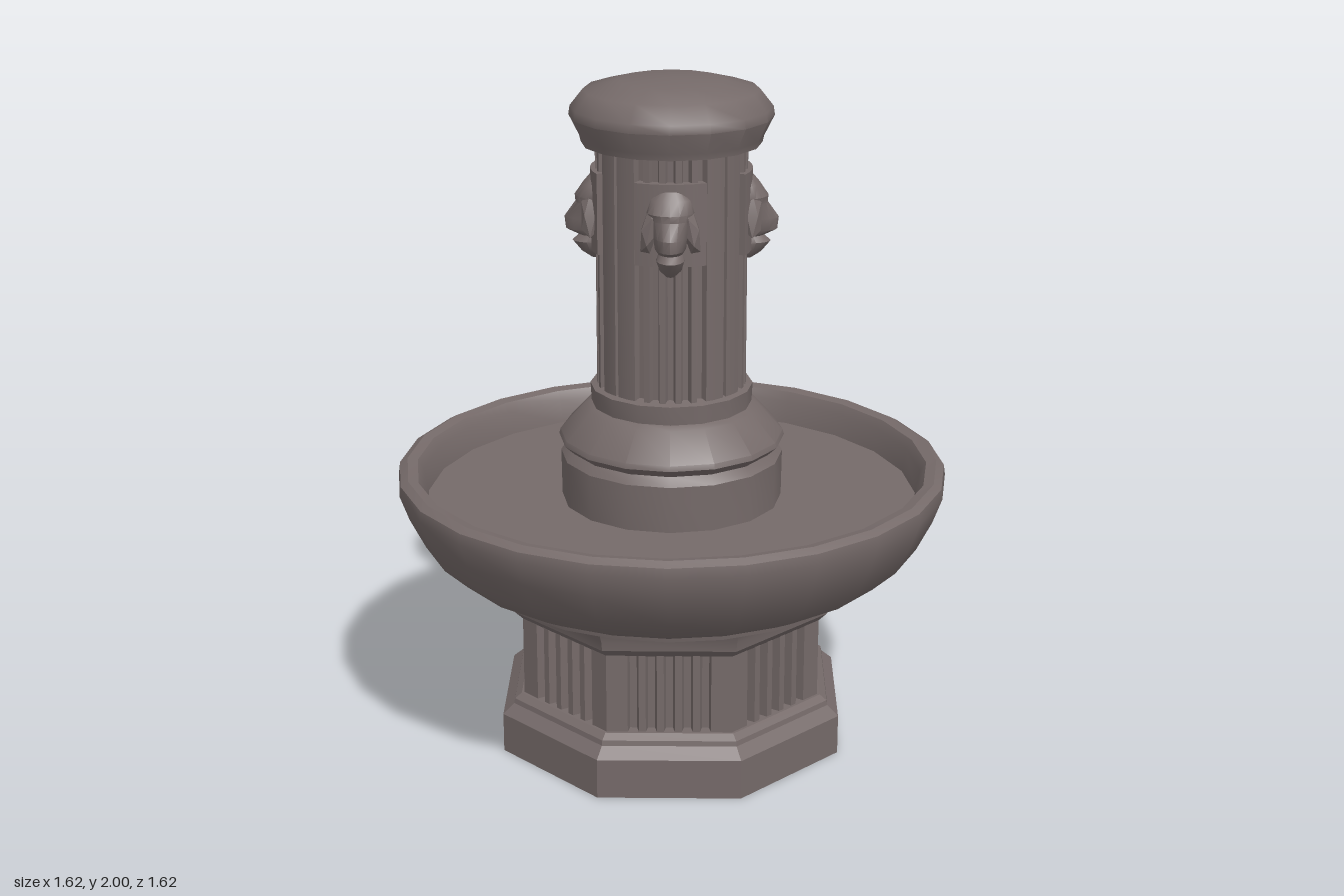
import * as THREE from 'three';
import { toCreasedNormals } from 'three/addons/utils/BufferGeometryUtils.js';

const stone = new THREE.MeshStandardMaterial({ color: 0x756a69 });
stone.name = 'weathered stone';

function part(name, geometry, crease = 0.6) {
  const mesh = new THREE.Mesh(toCreasedNormals(geometry, crease), stone);
  mesh.name = name;
  return mesh;
}

// Turned part from [radius, height] pairs, listed from the bottom up
function turned(name, profile, sides, crease) {
  const points = profile.map(([r, y]) => new THREE.Vector2(r, y));
  return part(name, new THREE.LatheGeometry(points, sides), crease);
}

// Octagonal part with flat sides facing the axes; radii are to the flats
function octagonal(name, profile) {
  const points = profile.map(([r, y]) => new THREE.Vector2(r / Math.cos(Math.PI / 8), y));
  return part(name, new THREE.LatheGeometry(points, 8, Math.PI / 8), 0.4);
}

// Plan outline raised from y0 to y1
function upright(name, outline, y0, y1) {
  const geometry = new THREE.ExtrudeGeometry(new THREE.Shape(outline),
    { depth: y1 - y0, bevelEnabled: false });
  geometry.rotateX(-Math.PI / 2).translate(0, y0, 0);
  return part(name, geometry, 0.45);
}

const polar = (r, a) => new THREE.Vector2(r * Math.cos(a), r * Math.sin(a));

// Octagon plan with five grooves in each side
function groovedOctagon(apothem, depth) {
  const outline = [];
  for (let side = 0; side < 8; side++) {
    const a = side * Math.PI / 4;
    const add = (t, r) => outline.push(new THREE.Vector2(
      r * Math.cos(a) - t * Math.sin(a), r * Math.sin(a) + t * Math.cos(a)));
    add(-apothem * Math.tan(Math.PI / 8), apothem);
    for (let i = -2; i <= 2; i++) {
      const t = i * 0.052;
      add(t - 0.016, apothem);
      add(t - 0.01, apothem - depth);
      add(t + 0.01, apothem - depth);
      add(t + 0.016, apothem);
    }
  }
  return outline;
}

// Round plan: five flutes on each diagonal, one thin groove between the groups
function flutedCircle(radius, depth) {
  const outline = [];
  const groove = (a, half) => {
    outline.push(polar(radius, a - half), polar(radius - depth, a - half * 0.6),
      polar(radius - depth, a + half * 0.6), polar(radius, a + half));
  };
  for (let q = 0; q < 4; q++) {
    const a = q * Math.PI / 2;
    groove(a, 0.025);
    outline.push(polar(radius, a + 0.2));
    for (let i = -2; i <= 2; i++) groove(a + Math.PI / 4 + i * 0.21, 0.065);
    outline.push(polar(radius, a + Math.PI / 2 - 0.2));
  }
  return outline;
}

// Face built from half-round cross-sections: [height, half width, projection]
function maskGeometry() {
  const rows = [
    [1.48, 0.012, 0.015], [1.5, 0.032, 0.045], [1.53, 0.042, 0.07],
    [1.548, 0.036, 0.05], [1.565, 0.045, 0.088], [1.6, 0.05, 0.092],
    [1.645, 0.06, 0.06], [1.665, 0.068, 0.062], [1.7, 0.058, 0.038], [1.73, 0.03, 0.012],
  ];
  const n = 8, positions = [], index = [];
  rows.forEach(([y, w, d], r) => {
    for (let i = 0; i <= n; i++) {
      const a = Math.PI * i / n;
      positions.push(-w * Math.cos(a), y, 0.215 + d * Math.sin(a));
      if (r && i) {
        const c = r * (n + 1) + i, b = c - n - 1;
        index.push(b - 1, b, c, b - 1, c, c - 1);
      }
    }
  });
  const geometry = new THREE.BufferGeometry();
  geometry.setAttribute('position', new THREE.Float32BufferAttribute(positions, 3));
  geometry.setIndex(index);
  return geometry;
}

// Spout mask: curved backing plate, face and mane locks
function createMask() {
  const group = new THREE.Group();
  group.name = 'spoutMask';
  const arc = [];
  for (let i = 0; i <= 6; i++) arc.push(polar(0.232, -Math.PI / 2 - 0.45 + i * 0.15));
  for (let i = 6; i >= 0; i--) arc.push(polar(0.19, -Math.PI / 2 - 0.45 + i * 0.15));
  group.add(upright('maskPlate', arc, 1.51, 1.745));
  group.add(part('maskFace', maskGeometry(), 0.7));
  for (const side of [-1, 1]) {
    const lock = new THREE.IcosahedronGeometry(1, 0).scale(0.026, 0.075, 0.03);
    lock.rotateZ(side * 0.2).translate(side * 0.058, 1.615, 0.23);
    group.add(part('maneLock', lock, 0.3));
  }
  return group;
}

export function createModel() {
  const model = new THREE.Group();
  model.name = 'fountain';

  // Octagonal pedestal
  model.add(octagonal('baseStep', [
    [0, 0], [0.5, 0], [0.5, 0.12], [0.468, 0.15], [0.465, 0.165], [0.445, 0.18], [0, 0.18]]));
  model.add(upright('groovedPedestal', groovedOctagon(0.437, 0.028), 0.17, 0.43));
  model.add(octagonal('pedestalMoulding', [
    [0.3, 0.418], [0.435, 0.418], [0.46, 0.445], [0.465, 0.475], [0.475, 0.5], [0.3, 0.505]]));

  // Round bowl with rounded rim and flat floor
  model.add(turned('bowl', [
    [0.3, 0.485], [0.48, 0.49], [0.52, 0.512], [0.585, 0.53], [0.588, 0.545],
    [0.6, 0.548], [0.67, 0.585], [0.74, 0.65], [0.785, 0.74], [0.812, 0.815],
    [0.808, 0.845], [0.785, 0.858], [0.755, 0.852], [0.738, 0.825],
    [0.725, 0.755], [0, 0.75]], 24, 0.6));

  // Stepped foot of the column
  model.add(turned('columnPlinth', [
    [0.325, 0.745], [0.327, 0.89], [0.305, 0.915], [0.332, 0.94], [0.328, 0.955],
    [0.255, 1.035], [0.235, 1.045], [0.238, 1.1], [0.2, 1.11]], 16, 0.5));

  // Fluted column with four masks on the diagonals
  model.add(upright('flutedColumn', flutedCircle(0.218, 0.018), 1.09, 1.83));
  for (let i = 0; i < 4; i++) {
    const mask = createMask();
    mask.rotation.y = Math.PI / 4 + i * Math.PI / 2;
    model.add(mask);
  }

  // Domed cap
  model.add(turned('cap', [
    [0, 1.815], [0.258, 1.817], [0.262, 1.835], [0.292, 1.895], [0.288, 1.92],
    [0.25, 1.968], [0.15, 1.994], [0, 2]], 16, 0.7));

  return model;
}
